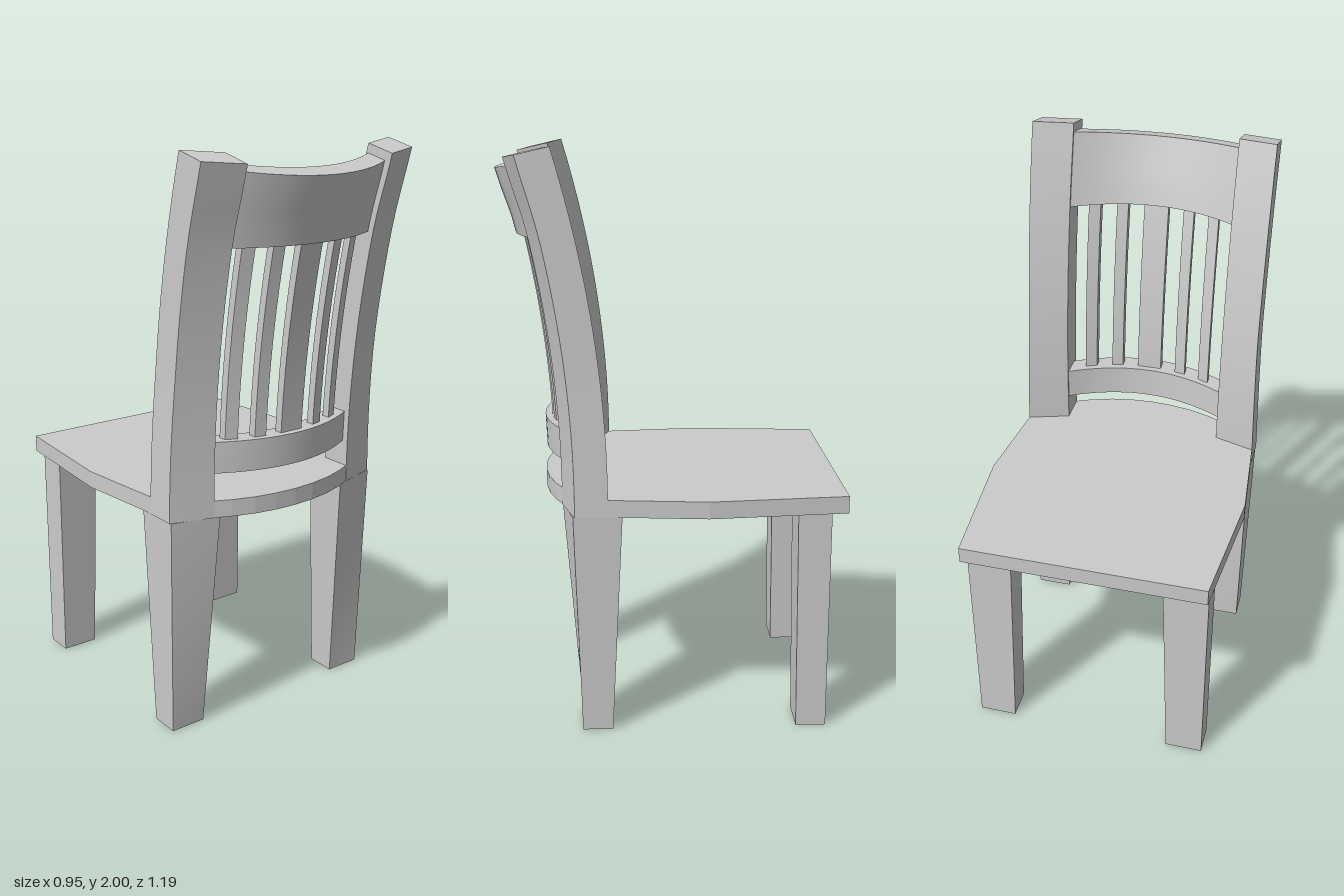
import * as THREE from 'three';

const material = new THREE.MeshStandardMaterial({ color: 0xcccccc });
const mix = THREE.MathUtils.lerp;

// Backward lean of the backrest at height y, and its bow at distance x from the middle
const lean = (y) => 0.228 + 0.167 * Math.max(0, (y - 0.85) / 1.15) ** 2;
const bow = (x) => 0.055 + 0.085 * (1 - (x / 0.295) ** 2);
// Upper ends are cut square to the lean
const drop = (y, depth) => 0.23 * depth * THREE.MathUtils.smoothstep(y, 1.7, 1.95);

// Box whose points (u, v, w in 0..1) are moved by a rule
function warpedBox(name, nx, ny, rule) {
  const geo = new THREE.BoxGeometry(1, 1, 1, nx, ny, 1);
  const p = geo.attributes.position;
  for (let i = 0; i < p.count; i++) {
    p.setXYZ(i, ...rule(p.getX(i) + 0.5, p.getY(i) + 0.5, p.getZ(i) + 0.5));
  }
  geo.computeVertexNormals();
  const mesh = new THREE.Mesh(geo, material);
  mesh.name = name;
  return mesh;
}

// Same for a part on one side: u runs from the inner to the outer face
function sideBox(name, side, ny, rule) {
  return warpedBox(name, 1, ny, (u, v, w) => {
    const [x, y, z] = rule(side > 0 ? u : 1 - u, v, w);
    return [side * x, y, z];
  });
}

// Piece that follows the bow and lean of the backrest
function backPiece(name, x0, x1, y0, y1, d0, d1, nx, ny) {
  return warpedBox(name, nx, ny, (u, v, w) => {
    const x = mix(x0, x1, u), y = mix(y0, y1, v);
    const depth = bow(x) + mix(d0, d1, w);
    return [x, y - drop(y, depth), lean(y) + depth];
  });
}

function seat() {
  const half = [[0.435, -0.585], [0.475, -0.11], [0.443, 0.23], [0.435, 0.34],
    [0.295, 0.385], [0.24, 0.41], [0.16, 0.436], [0.08, 0.45], [0, 0.455]];
  const outline = [...half, ...half.slice(0, -1).reverse().map(([x, z]) => [-x, z])];
  const shape = new THREE.Shape(outline.map(([x, z]) => new THREE.Vector2(x, z)));
  const geo = new THREE.ExtrudeGeometry(shape, { depth: 0.06, bevelEnabled: false });
  geo.rotateX(Math.PI / 2);
  geo.translate(0, 0.85, 0);
  const mesh = new THREE.Mesh(geo, material);
  mesh.name = 'seat';
  return mesh;
}

export function createModel() {
  const chair = new THREE.Group();
  chair.name = 'chair';
  chair.add(seat());

  for (const side of [1, -1]) {
    const label = side > 0 ? 'Left' : 'Right';

    // Tapered front leg
    chair.add(sideBox('frontLeg' + label, side, 1, (u, v, w) => [
      mix(mix(0.295, 0.27, v), 0.43, u), 0.79 * v, mix(-0.53, mix(-0.425, -0.415, v), w),
    ]));

    // Rear leg, square at the foot and turned towards the bow at the seat
    chair.add(sideBox('rearLeg' + label, side, 6, (u, v, w) => {
      const turn = 0.04 * v * (1 - u);
      return [
        mix(mix(0.3, 0.27, v), mix(0.43, 0.442, v), u), 0.79 * v,
        mix(mix(0.22, 0.18, v), mix(0.325, 0.346, v), w) + turn,
      ];
    }));

    // Curved back post
    chair.add(sideBox('backPost' + label, side, 16, (u, v, w) => {
      const y = mix(0.79, 2, v);
      const depth = 0.047 * (1 - u) + 0.112 * w;
      const outer = y < 1.25 ? mix(0.445, 0.433, (y - 0.79) / 0.46) : 0.432;
      return [mix(0.295, outer, u), y - drop(y, depth), lean(y) + depth];
    }));
  }

  // Bowed rails
  chair.add(backPiece('lowerRail', -0.31, 0.31, 0.94, 1.05, 0, 0.08, 20, 1));
  chair.add(backPiece('topRail', -0.31, 0.31, 1.7, 1.97, 0, 0.08, 20, 4));

  // Wide middle slat and two narrow ones on each side
  for (const [x, width] of [[0, 0.09], [0.123, 0.04], [-0.123, 0.04], [0.22, 0.04], [-0.22, 0.04]]) {
    chair.add(backPiece('slat', x - width / 2, x + width / 2, 1.04, 1.72, 0.025, 0.055, 1, 12));
  }
  return chair;
}
